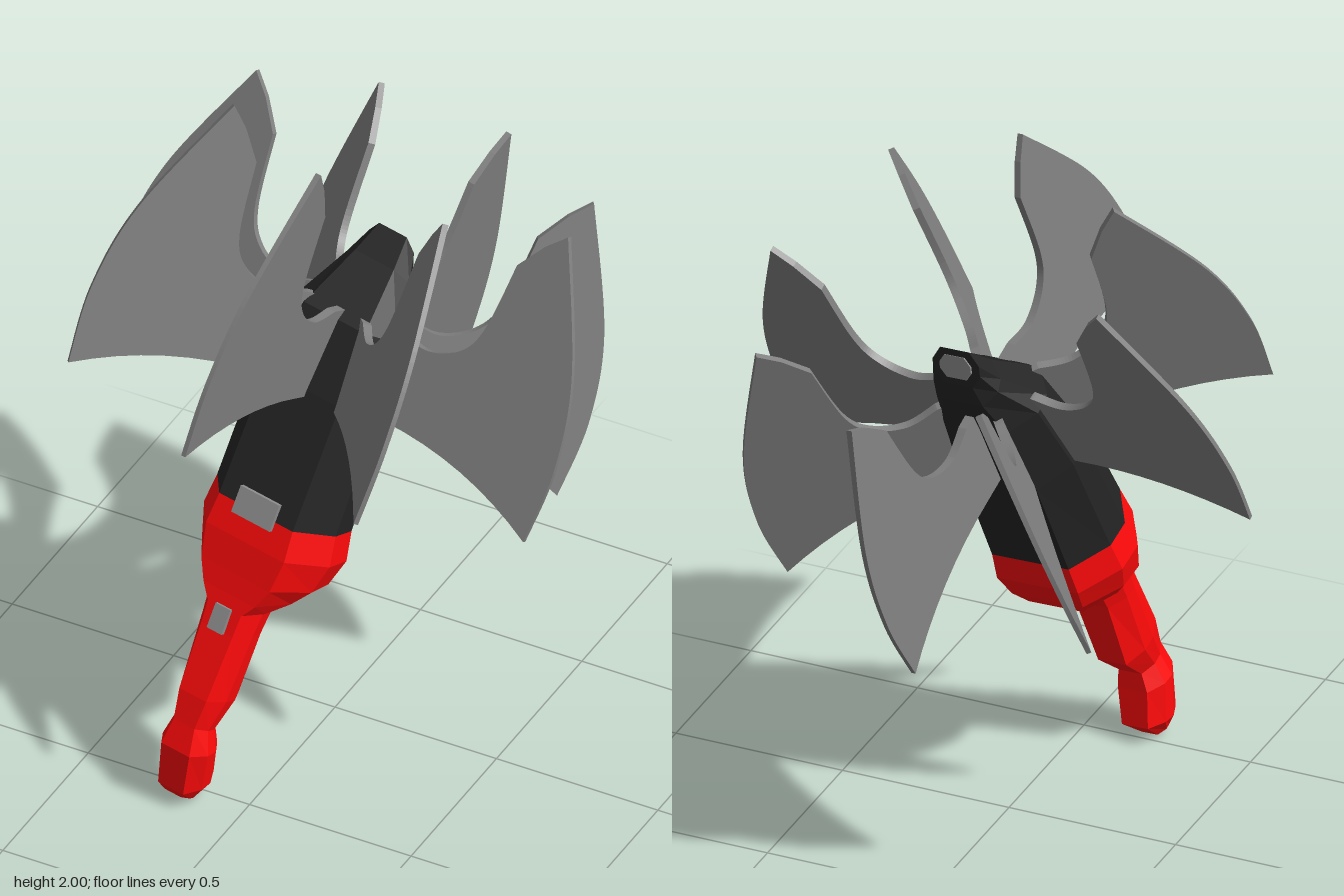
import * as THREE from 'three';

const mat = (color) => new THREE.MeshStandardMaterial({ color, flatShading: true });
const red = mat(0xff0a0a), black = mat(0x242424), grey = mat(0x808080), light = mat(0x909090);

// Eight-sided section: front point (z, y), back point (z, y) and half width
function section([fz, fy, bz, by, half]) {
  const at = (x, t) => new THREE.Vector3(x * half, by + (fy - by) * t, bz + (fz - bz) * t);
  return [at(1, 0.36), at(1, 0.64), at(0.62, 1), at(-0.62, 1), at(-1, 0.64), at(-1, 0.36), at(-0.62, 0), at(0.62, 0)];
}

// Faceted skin through sections listed from top to bottom, closed at both ends
function loft(rows, material, name) {
  const rings = rows.map(section), pos = [];
  const tri = (...pts) => pts.forEach((p) => pos.push(p.x, p.y, p.z));
  const middle = (ring) => ring.reduce((m, p) => m.addScaledVector(p, 1 / ring.length), new THREE.Vector3());
  const first = rings[0], last = rings[rings.length - 1], n = first.length;
  for (let i = 0; i < n; i++) {
    const j = (i + 1) % n;
    for (let k = 0; k + 1 < rings.length; k++) {
      const a = rings[k], b = rings[k + 1];
      tri(a[i], a[j], b[i]);
      tri(a[j], b[j], b[i]);
    }
    tri(middle(first), first[j], first[i]);
    tri(middle(last), last[i], last[j]);
  }
  const geo = new THREE.BufferGeometry();
  geo.setAttribute('position', new THREE.Float32BufferAttribute(pos, 3));
  geo.computeVertexNormals();
  const mesh = new THREE.Mesh(geo, material);
  mesh.name = name;
  return mesh;
}

// Axe-shaped blade, thicker at the root and thin at the outer edge
function bladeGeometry() {
  const shape = new THREE.Shape();
  shape.moveTo(0.06, 0.12);
  shape.lineTo(0.2, 0.12);
  shape.quadraticCurveTo(0.48, 0.125, 0.72, 0);
  shape.splineThru([[0.733, 0.23], [0.685, 0.49], [0.53, 0.84]].map((p) => new THREE.Vector2(...p)));
  shape.lineTo(0.475, 0.785);
  shape.lineTo(0.415, 0.7);
  shape.splineThru([[0.39, 0.49], [0.34, 0.4], [0.245, 0.358], [0.15, 0.38]].map((p) => new THREE.Vector2(...p)));
  shape.lineTo(0.06, 0.38);
  const geo = new THREE.ExtrudeGeometry(shape, { depth: 1, bevelEnabled: false, curveSegments: 8 });
  geo.translate(0, 0, -0.5);
  const p = geo.attributes.position;
  for (let i = 0; i < p.count; i++) {
    p.setZ(i, p.getZ(i) * THREE.MathUtils.mapLinear(p.getX(i), 0.06, 0.74, 0.028, 0.013));
  }
  geo.computeVertexNormals();
  return geo;
}

export function createModel() {
  const model = new THREE.Group();
  const weapon = new THREE.Group();
  weapon.name = 'tiltedBody';

  // Dark barrel with a nose that bends backwards
  weapon.add(loft([
    [-0.047, 0.6, -0.094, 0.5, 0.075],
    [0.0, 0.515, -0.108, 0.44, 0.105],
    [0.115, 0.352, -0.108, 0.33, 0.165],
    [0.147, 0.14, -0.122, 0.1, 0.197],
    [0.156, -0.238, -0.15, -0.215, 0.2],
  ], black, 'barrel'));

  // Grey lens on the nose
  weapon.add(loft([
    [-0.06, 0.587, -0.089, 0.524, 0.05],
    [-0.052, 0.578, -0.081, 0.515, 0.05],
  ], light, 'noseLens'));

  // Red collar narrowing into the grip
  weapon.add(loft([
    [0.156, -0.238, -0.15, -0.215, 0.2],
    [0.155, -0.33, -0.166, -0.3, 0.212],
    [0.142, -0.43, -0.158, -0.375, 0.185],
    [0.136, -0.49, -0.14, -0.425, 0.14],
    [0.134, -0.53, -0.03, -0.485, 0.095],
  ], red, 'collar'));

  // Grip with a rounded pommel
  weapon.add(loft([
    [0.135, -0.5, -0.025, -0.47, 0.092],
    [0.13, -0.6, -0.018, -0.57, 0.084],
    [0.13, -0.8, -0.046, -0.79, 0.073],
    [0.118, -0.89, 0.0, -0.89, 0.056],
    [0.113, -0.97, -0.025, -0.94, 0.076],
    [0.055, -1.094, -0.078, -1.035, 0.068],
    [0.03, -1.112, -0.04, -1.112, 0.042],
  ], red, 'grip'));

  // Buttons on the front
  for (const [name, w, h, y, z] of [['largeButton', 0.13, 0.08, -0.225, 0.155], ['smallButton', 0.05, 0.075, -0.565, 0.13]]) {
    const button = new THREE.Mesh(new THREE.BoxGeometry(w, h, 0.03), light);
    button.name = name;
    button.position.set(0, y, z);
    weapon.add(button);
  }

  // Ring of eight blades, the diagonal ones turned a little further
  const geo = bladeGeometry();
  for (let i = 0; i < 8; i++) {
    const blade = new THREE.Mesh(geo, grey);
    blade.name = 'blade' + (i + 1);
    blade.rotation.y = (i * Math.PI) / 4 - (i % 2 ? 0.07 : 0.008);
    weapon.add(blade);
  }

  // Lean the whole body backwards and a little to its left
  const up = new THREE.Vector3(0.151, 0.895, -0.422).normalize();
  const side = new THREE.Vector3(0.986, -0.104, 0.132).projectOnPlane(up).normalize();
  const front = new THREE.Vector3().crossVectors(side, up);
  weapon.quaternion.setFromRotationMatrix(new THREE.Matrix4().makeBasis(side, up, front));
  weapon.position.set(-0.02, 1.015, 0.095);
  model.add(weapon);
  return model;
}
